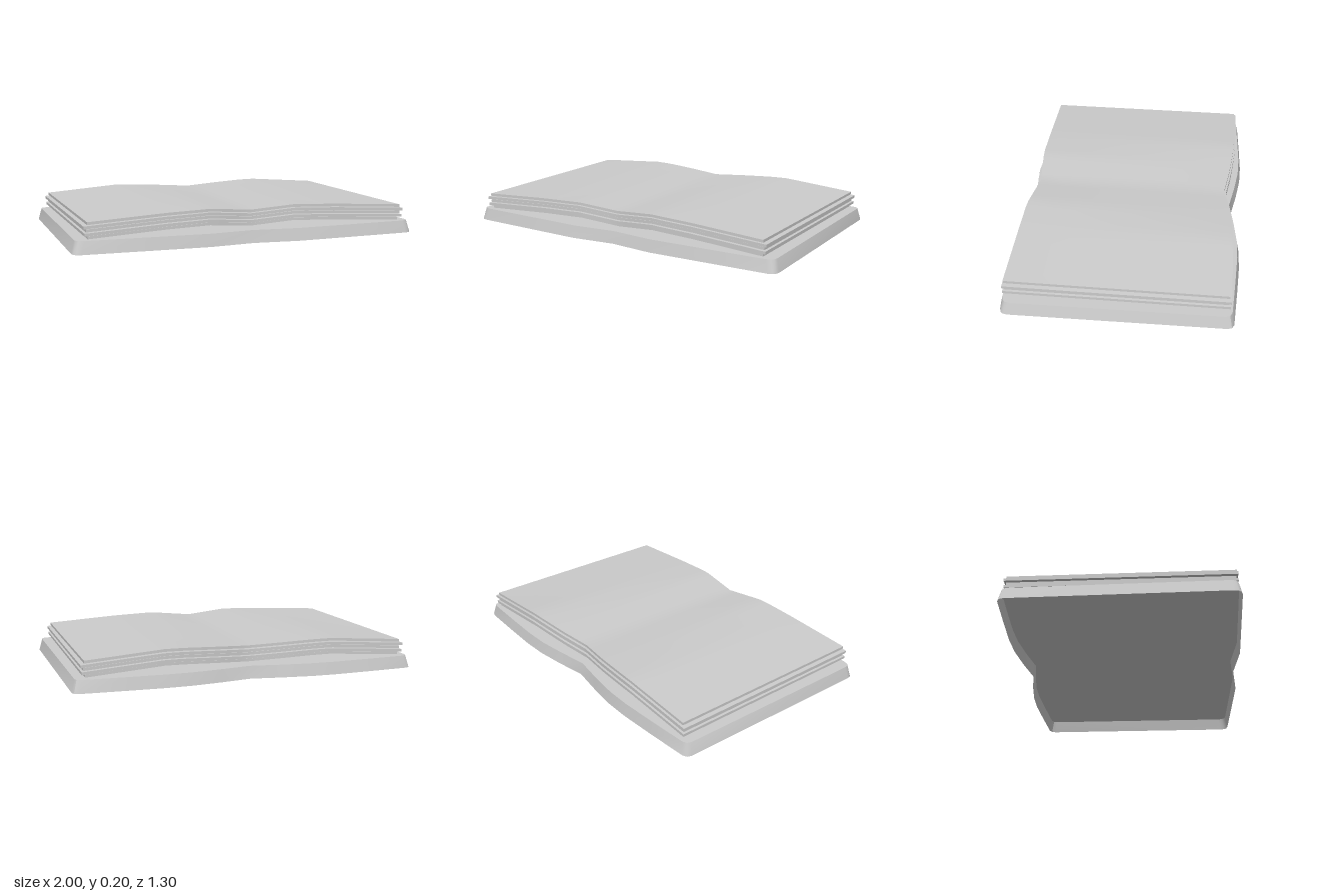
import * as THREE from 'three';
import { toCreasedNormals } from 'three/addons/utils/BufferGeometryUtils.js';

const grey = new THREE.MeshStandardMaterial({ color: 0xcccccc, side: THREE.DoubleSide });

// Straight-line interpolation through [x, value] points, mirrored about x = 0
function curve(points, x) {
  const a = Math.abs(x);
  for (let i = 1; i < points.length; i++) {
    const [x0, v0] = points[i - 1], [x1, v1] = points[i];
    if (a <= x1) return v0 + (v1 - v0) * (a - x0) / (x1 - x0);
  }
  return points[points.length - 1][1];
}

// Right half of the cover outline as [x, z], front centre to back centre
const coverHalf = [
  [0, 0.618], [0.26, 0.645], [0.6, 0.634], [0.955, 0.622], [0.982, 0.614], [0.995, 0.6], [1, 0.575],
  [0.988, -0.6], [0.98, -0.622], [0.955, -0.634],
  [0.7, -0.647], [0.5, -0.655], [0.35, -0.651], [0.18, -0.63], [0, -0.6],
];

// Hollow cover: sloping wall and flat top, open underneath
function makeCover() {
  const h = 0.07;
  const outline = [...coverHalf, ...coverHalf.slice(1, -1).reverse().map(([x, z]) => [-x, z])];
  const n = outline.length;
  const top = outline.map(([x, z]) => new THREE.Vector2(x * 0.982, z * 0.978));
  const pos = [], index = [];
  outline.forEach(([x, z], i) => {
    pos.push(x, 0, z, top[i].x, h, top[i].y);
    const a = 2 * i, b = 2 * ((i + 1) % n);
    index.push(a, b, b + 1, a, b + 1, a + 1);
  });
  const wall = new THREE.BufferGeometry();
  wall.setAttribute('position', new THREE.Float32BufferAttribute(pos, 3));
  wall.setIndex(index);

  const lid = new THREE.ShapeGeometry(new THREE.Shape(top.map(p => new THREE.Vector2(p.x, -p.y))));
  lid.rotateX(-Math.PI / 2).translate(0, h, 0);

  const cover = new THREE.Group();
  cover.name = 'cover';
  const wallMesh = new THREE.Mesh(toCreasedNormals(wall, 0.6), grey);
  wallMesh.name = 'coverWall';
  const lidMesh = new THREE.Mesh(lid, grey);
  lidMesh.name = 'coverTop';
  cover.add(wallMesh, lidMesh);
  return cover;
}

// Rise of the pages along the front and back edges, and the notch at the spine
const frontRise = [[0, 0.013], [0.25, 0.035], [0.5, 0.026], [0.94, 0]];
const backRise = [[0, 0.013], [0.2, 0.024], [0.36, 0.032], [0.48, 0.035], [0.94, 0]];
const frontNotch = [[0, 0.035], [0.28, 0.004], [0.94, 0]];
const backNotch = [[0, 0.05], [0.2, 0.022], [0.4, 0.004], [0.5, 0], [0.94, 0]];

// One block of pages: a thin box bent along x
function makePages(y, halfWidth, front, back) {
  const thick = 0.015;
  const geo = new THREE.BoxGeometry(2 * halfWidth, thick, 1, 30, 1, 8);
  const p = geo.attributes.position;
  for (let i = 0; i < p.count; i++) {
    const x = p.getX(i), t = p.getZ(i) + 0.5;
    const zf = front - curve(frontNotch, x), zb = -back + curve(backNotch, x);
    const rise = THREE.MathUtils.lerp(curve(backRise, x), curve(frontRise, x), t);
    p.setXYZ(i, x, p.getY(i) + thick / 2 + y + rise, THREE.MathUtils.lerp(zb, zf, t));
  }
  geo.computeVertexNormals();
  return new THREE.Mesh(geo, grey);
}

export function createModel() {
  const book = new THREE.Group();
  book.name = 'openBook';
  book.add(makeCover());

  // Stacked page blocks, bottom to top: y, half width, front z, back z
  const blocks = [
    [0.073, 0.915, 0.59, 0.595],
    [0.092, 0.935, 0.607, 0.61],
    [0.111, 0.925, 0.597, 0.6],
    [0.13, 0.94, 0.607, 0.612],
    [0.15, 0.92, 0.603, 0.602],
  ];
  blocks.forEach((b, i) => {
    const pages = makePages(...b);
    pages.name = `pages${i + 1}`;
    book.add(pages);
  });
  return book;
}
